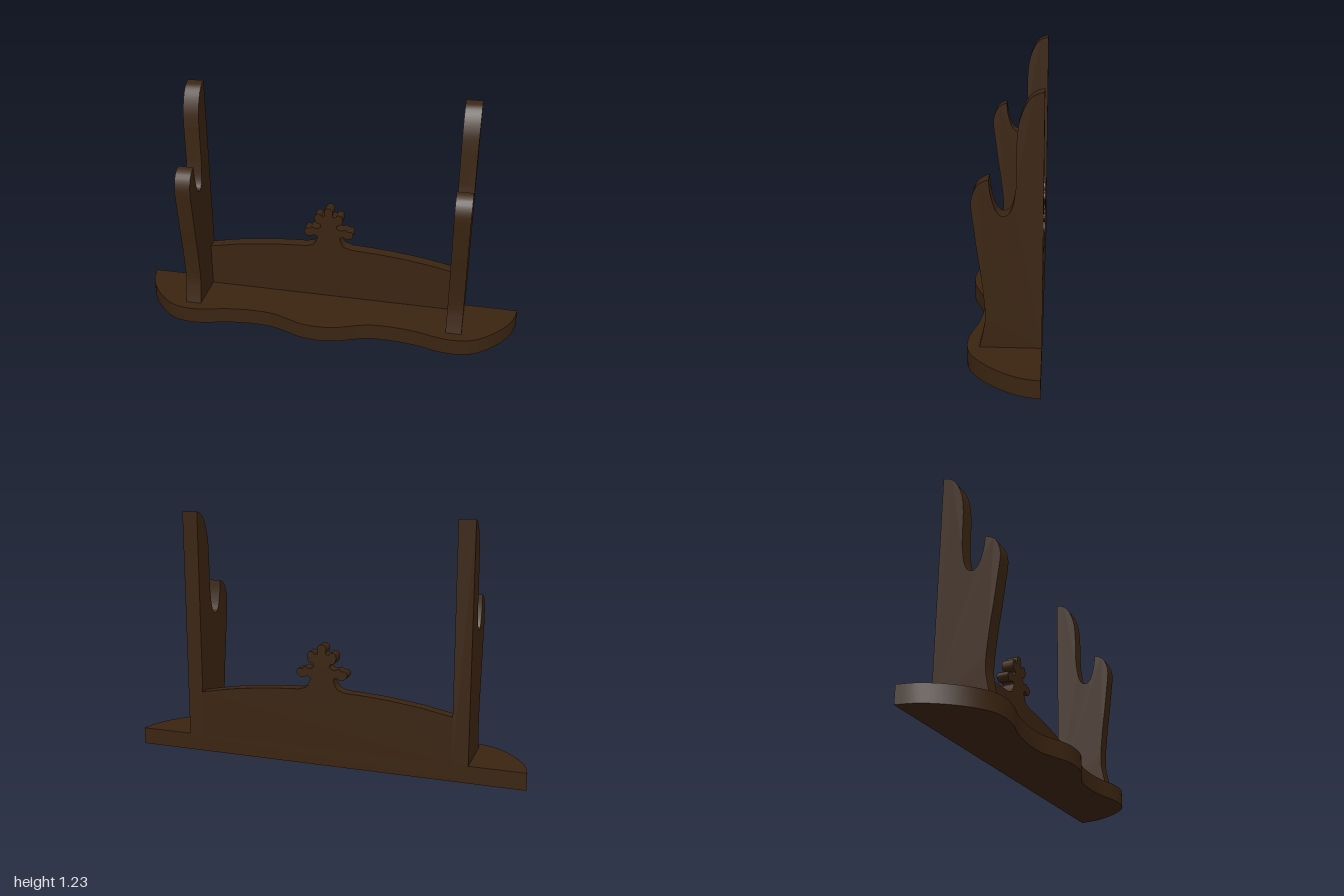
import * as THREE from 'three';
import { toCreasedNormals } from 'three/addons/utils/BufferGeometryUtils.js';

const wood = new THREE.MeshStandardMaterial({ color: 0x3a2411 });
wood.name = 'dark wood';

// Outline from runs of points: each run is a smooth spline, runs meet at sharp corners
function outline(start, ...runs) {
  const shape = new THREE.Shape().moveTo(...start);
  for (const run of runs) {
    if (run.length === 1) shape.lineTo(...run[0]);
    else shape.splineThru(run.map(([x, y]) => new THREE.Vector2(x, y)));
  }
  return shape;
}

function plank(shape, depth) {
  const g = new THREE.ExtrudeGeometry(shape, { depth, bevelEnabled: false, curveSegments: 4 });
  return toCreasedNormals(g, 0.6);
}

// Right half of a symmetric edge, ending on the centre line, continued by its mirror image
const mirrored = (half) => [...half, ...half.slice(0, -1).reverse().map(([x, y]) => [-x, y])];

function add(group, name, geometry) {
  const mesh = new THREE.Mesh(geometry, wood);
  mesh.name = name;
  group.add(mesh);
  return mesh;
}

export function createModel() {
  const model = new THREE.Group();
  model.name = 'displayStand';

  // Base with a wavy front edge (shape y is -z)
  const wave = mirrored([
    [1, 0.18], [0.98, 0.09], [0.93, 0], [0.86, -0.08], [0.78, -0.135], [0.69, -0.152],
    [0.6, -0.142], [0.51, -0.118], [0.38, -0.103], [0.26, -0.108], [0.17, -0.137],
    [0.09, -0.167], [0, -0.177],
  ]).reverse();
  add(model, 'base', plank(outline(wave[0], wave.slice(1)), 0.085).rotateX(-Math.PI / 2));

  // Two uprights with a cradle notch (shape x is z)
  const upright = outline([-0.18, 0.085],
    [[0.095, 0.085]],
    [[0.08, 0.15], [0.068, 0.24], [0.082, 0.4], [0.1, 0.53], [0.115, 0.65], [0.125, 0.74],
      [0.119, 0.79], [0.1, 0.83], [0.075, 0.85], [0.049, 0.86]],
    [[0.043, 0.8], [0.025, 0.735], [0.005, 0.705], [-0.016, 0.7], [-0.038, 0.715],
      [-0.055, 0.76], [-0.066, 0.84]],
    [[-0.067, 1.02]],
    [[-0.076, 1.1], [-0.1, 1.17], [-0.135, 1.215], [-0.18, 1.232]]);
  for (const [name, x] of [['leftUpright', 0.728], ['rightUpright', -0.648]]) {
    add(model, name, plank(upright, 0.08).rotateY(-Math.PI / 2)).position.x = x;
  }

  // Arched back board
  const board = outline([-0.65, 0.085], [[0.65, 0.085]], [[0.65, 0.315]],
    mirrored([[0.5, 0.344], [0.32, 0.367], [0.15, 0.379], [0, 0.383]]), [[-0.65, 0.315]]);
  add(model, 'backBoard', plank(board, 0.06)).position.z = -0.18;

  // Lobed finial rising from the middle of the board
  const finial = outline([-0.13, 0.37], [[0.13, 0.37]], mirrored([
    [0.12, 0.381], [0.085, 0.392], [0.07, 0.41], [0.06, 0.44], [0.075, 0.451], [0.092, 0.443],
    [0.115, 0.445], [0.13, 0.465], [0.122, 0.485], [0.1, 0.487], [0.088, 0.497], [0.065, 0.489],
    [0.042, 0.5], [0.045, 0.515], [0.064, 0.522], [0.074, 0.545], [0.067, 0.571],
    [0.045, 0.574], [0.035, 0.562], [0.02, 0.568], [0.023, 0.592], [0.014, 0.607], [0, 0.612],
  ]));
  add(model, 'finial', plank(finial, 0.06)).position.z = -0.18;

  return model;
}
